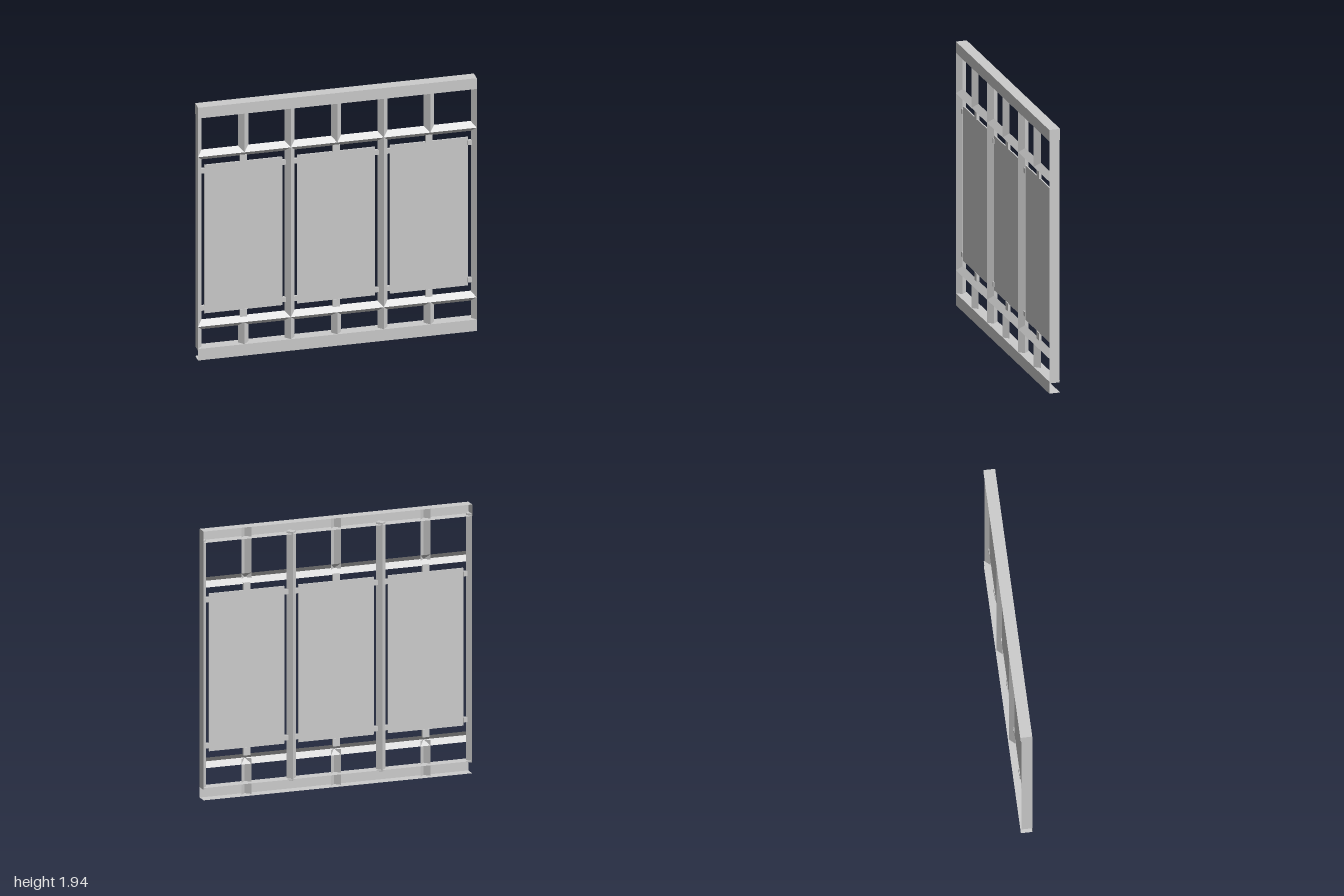
import * as THREE from 'three';

const grey = new THREE.MeshStandardMaterial({ color: 0xcccccc, flatShading: true, side: THREE.DoubleSide });

// Thin folded sheet: an open [u, z] profile swept from a to b along x or y
function foldedSheet(name, profile, axis, a, b) {
  const pos = [];
  const point = ([u, z], t) => (axis === 'x' ? [t, u, z] : [u, t, z]);
  for (let i = 0; i < profile.length - 1; i++) {
    const p = point(profile[i], a), q = point(profile[i + 1], a);
    const r = point(profile[i + 1], b), s = point(profile[i], b);
    pos.push(...p, ...q, ...r, ...p, ...r, ...s);
  }
  const geo = new THREE.BufferGeometry();
  geo.setAttribute('position', new THREE.Float32BufferAttribute(pos, 3));
  geo.computeVertexNormals();
  const mesh = new THREE.Mesh(geo, grey);
  mesh.name = name;
  return mesh;
}

// Closed vertical bar with an [x, z] outline
function post(name, outline, x, y0, y1) {
  const shape = new THREE.Shape(outline.map(([u, z]) => new THREE.Vector2(u, -z)));
  const geo = new THREE.ExtrudeGeometry(shape, { depth: y1 - y0, bevelEnabled: false });
  geo.rotateX(-Math.PI / 2);
  const mesh = new THREE.Mesh(geo, grey);
  mesh.name = name;
  mesh.position.set(x, y0, 0);
  return mesh;
}

function box(name, x0, x1, y0, y1, depth) {
  const mesh = new THREE.Mesh(new THREE.BoxGeometry(x1 - x0, y1 - y0, depth), grey);
  mesh.name = name;
  mesh.position.set((x0 + x1) / 2, (y0 + y1) / 2, 0);
  return mesh;
}

export function createModel() {
  const model = new THREE.Group();
  const H = 1.94, F = 0.04, W = 0.035;

  // Top and bottom channels, open to the back
  for (const [name, y0, y1] of [['topRail', 1.857, H], ['bottomRail', 0, 0.088]]) {
    model.add(foldedSheet(name, [[y0, -F], [y0, F], [y1, F], [y1, -F]], 'x', -1, 1));
  }

  // End caps of the top channel
  for (const side of [-1, 1]) {
    model.add(foldedSheet('topRailCap', [[side, -F], [side, F]], 'y', 1.857, H));
  }

  // Angle-section cross rails with the ridge forward
  for (const y of [1.56, 0.257]) {
    model.add(foldedSheet('crossRail', [[y - 0.038, 0], [y, F], [y + 0.038, 0]], 'x', -1, 1));
  }

  // Diamond-section posts, halved at both ends
  for (const x of [-1 / 3, 1 / 3]) {
    model.add(post('middlePost', [[0, 0.04], [W, 0.002], [0, -0.036], [-W, 0.002]], x, 0.075, 1.87));
  }
  for (const side of [-1, 1]) {
    model.add(post('endPost', [[0, 0.04], [-side * 0.033, 0.002], [0, -0.036]], side, 0.075, 1.87));
  }

  // One bay: angle-section struts, panel and its fixing tabs
  for (const x of [-2 / 3, 0, 2 / 3]) {
    const bay = new THREE.Group();
    bay.name = 'bay';
    bay.position.x = x;
    const angle = [[-0.037, 0], [0, F], [0.037, 0]];
    bay.add(foldedSheet('upperStrut', angle, 'y', 1.56, H));
    bay.add(foldedSheet('lowerStrut', angle, 'y', 0, 0.257));
    bay.add(box('panel', -0.28, 0.28, 0.34, 1.478, 0.01));
    bay.add(box('topTab', -0.025, 0.025, 1.475, 1.53, 0.02));
    bay.add(box('bottomTab', -0.025, 0.025, 0.285, 0.343, 0.02));
    for (const side of [-1, 1]) {
      for (const y of [0.382, 1.436]) {
        const a = side * 0.277, b = side * 0.31;
        bay.add(box('sideTab', Math.min(a, b), Math.max(a, b), y - 0.018, y + 0.018, 0.02));
      }
    }
    model.add(bay);
  }

  return model;
}
